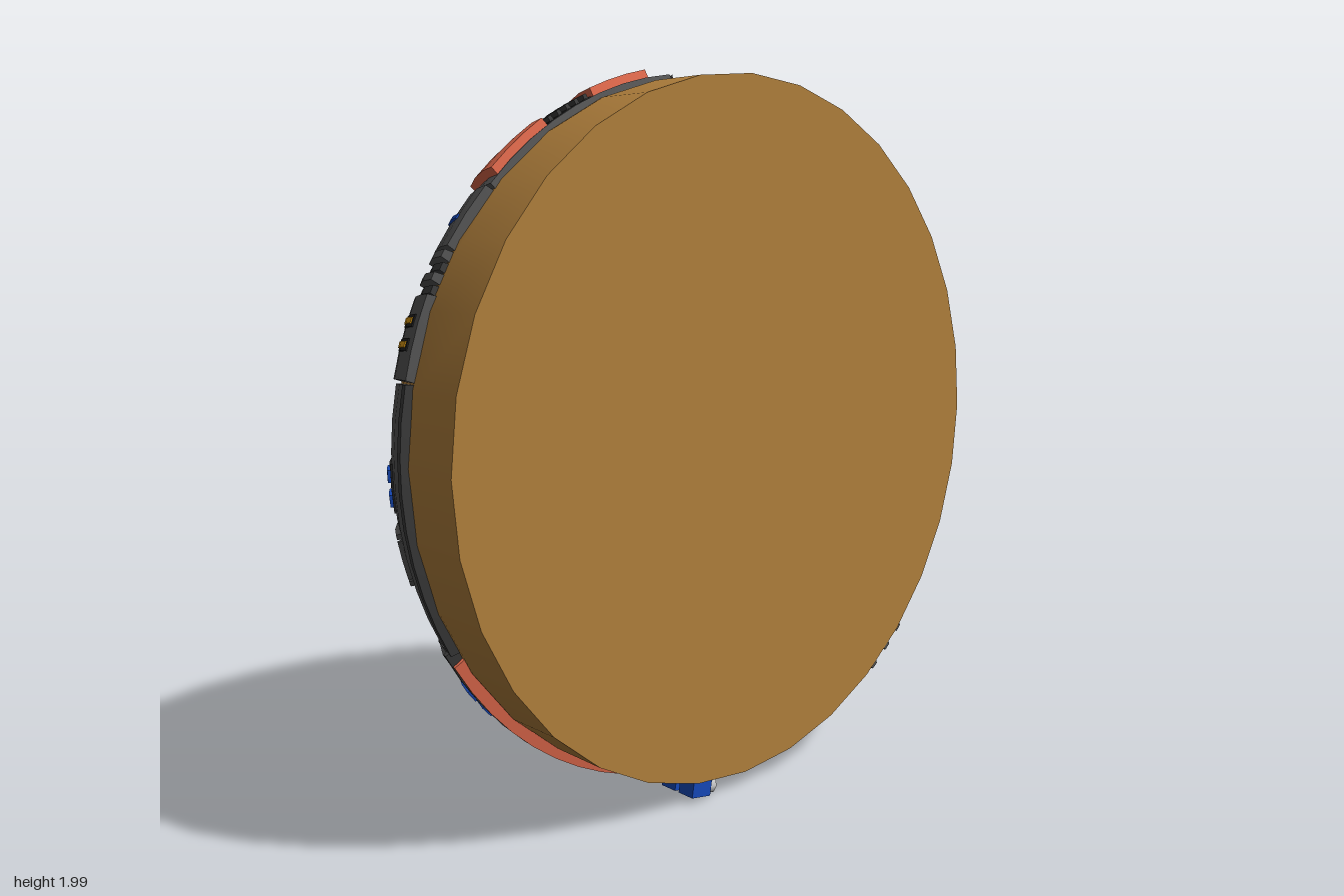
import * as THREE from 'three';
import { toCreasedNormals } from 'three/addons/utils/BufferGeometryUtils.js';

const CY = 1.013;
const BUN = 0xb07f3c, GRAY = 0x545454, DARK = 0x3c3c3c, BLACK = 0x222222, YELLOW = 0xcfcc12,
  CORAL = 0xe0694c, BLUE = 0x1548b8, ORANGE = 0xd9960f, SEED = 0xcbc43e, WHITE = 0xcccccc;

// bun profile, [radius, z] from the flat face to the crown
const PROFILE = [[0.97, 0.34], [0.97, 0.17], [0.95, 0.08], [0.905, 0], [0.82, -0.1], [0.75, -0.15],
  [0.67, -0.2], [0.51, -0.267], [0.35, -0.308], [0.18, -0.331], [0, -0.338]];

// linear lookup along the profile: key column k, value column 1 - k
function lookup(v, k) {
  for (let i = 1; i < PROFILE.length; i++) {
    const p = PROFILE[i - 1], q = PROFILE[i];
    if (v >= q[k] && p[k] !== q[k]) {
      return p[1 - k] + (q[1 - k] - p[1 - k]) * (p[k] - v) / (p[k] - q[k]);
    }
  }
  return PROFILE[PROFILE.length - 1][1 - k];
}
const radiusAt = z => lookup(Math.min(z, 0.34), 1);
const zAt = r => lookup(r, 0);

// point at angle a (degrees round z, 0 = +x), depth z, lifted by h along the surface normal
function surface(a, z, h) {
  const slope = (radiusAt(z + 0.03) - radiusAt(z - 0.03)) / 0.06;
  const n = Math.hypot(1, slope), r = radiusAt(z) + h / n, t = THREE.MathUtils.degToRad(a);
  return new THREE.Vector3(Math.cos(t) * r, CY + Math.sin(t) * r, z - h * slope / n);
}

const materials = {};
const material = c => (materials[c] ??= new THREE.MeshStandardMaterial({ color: c }));

export function createModel() {
  const model = new THREE.Group();
  const add = (name, geo, color) => {
    const mesh = new THREE.Mesh(geo, material(color));
    mesh.name = name;
    model.add(mesh);
    return mesh;
  };

  // armour plate wrapped on the bun: angles a0..a1, depths z0..z1 (z2..z3 at the a1 end), height h
  function plate(name, color, a0, a1, z0, z1, h, z2 = z0, z3 = z1) {
    const na = Math.max(1, Math.ceil((a1 - a0) / 5.7)), nz = Math.max(1, Math.ceil((z1 - z0) / 0.06));
    const geo = new THREE.BoxGeometry(1, 1, 1, na, nz, 1), pos = geo.attributes.position;
    const bevel = Math.min(0.005, (z1 - z0) * 0.2, (a1 - a0) * 0.003);
    for (let i = 0; i < pos.count; i++) {
      const top = pos.getZ(i) > 0, u = pos.getX(i) + 0.5, v = pos.getY(i) + 0.5;
      const lo = z0 + (z2 - z0) * u, hi = z1 + (z3 - z1) * u, inset = top ? bevel : 0;
      const z = lo + (hi - lo) * v - pos.getY(i) * 2 * inset;
      const a = a0 + (a1 - a0) * u - pos.getX(i) * 2 * inset * 60;
      const p = surface(a, z, top ? h : -0.015);
      pos.setXYZ(i, p.x, p.y, p.z);
    }
    geo.computeVertexNormals();
    return add(name, toCreasedNormals(geo, 0.45), color);
  }

  // rectangular border of four plates
  function frame(name, color, a0, a1, z0, z1, h, wa, wz) {
    plate(name, color, a0, a0 + wa, z0, z1, h);
    plate(name, color, a1 - wa, a1, z0, z1, h);
    plate(name, color, a0 + wa, a1 - wa, z0, z0 + wz, h);
    plate(name, color, a0 + wa, a1 - wa, z1 - wz, z1, h);
  }

  // bun dome and flat cut face
  const dome = new THREE.LatheGeometry(PROFILE.map(([r, z]) => new THREE.Vector2(r, -z)), 32);
  dome.rotateX(-Math.PI / 2);
  add('bunDome', dome, BUN).position.y = CY;
  add('bunCutFace', new THREE.CircleGeometry(0.97, 32), BUN).position.set(0, CY, 0.34);

  // sesame seeds, lying on the crown
  const seeds = [[-0.05, 0.44], [-0.02, 0.17], [-0.33, 0.22], [0.18, -0.22], [-0.14, -0.24], [0.47, -0.11],
    [0.47, 0.22], [0.72, 0.27], [-0.27, 0.69], [0.47, -0.53]];
  seeds.forEach(([x, y], i) => {
    const r = Math.hypot(x, y), a = Math.atan2(y, x) * 180 / Math.PI, z = zAt(r);
    const base = surface(a, z, 0), out = surface(a, z, 0.1).sub(base).normalize();
    const seed = add('sesameSeed', new THREE.SphereGeometry(1, 10, 8), SEED);
    seed.scale.set(0.021, 0.036, 0.013);
    seed.position.set(x, CY + y, z).addScaledVector(out, 0.004);
    seed.quaternion.setFromUnitVectors(new THREE.Vector3(0, 0, 1), out);
    seed.rotateZ([0.1, 0.9, -0.2, 0, 0.25, -0.1, 0.1, 0.2, 1.2, 0.5][i]);
  });

  // striped hazard band
  const stripes = [11, 21.5, 34.5, 45, 56.5, 67, 79];
  for (let i = 0; i < 6; i++) {
    const yellow = i % 2 === 1;
    plate(yellow ? 'hazardStripe' : 'hazardGap', yellow ? YELLOW : GRAY,
      stripes[i], stripes[i + 1], -0.12, 0.165, yellow ? 0.02 : 0.011);
  }

  // top band with light strip
  plate('topBand', GRAY, 79, 139, -0.12, -0.05, 0.016);
  plate('topBandLight', CORAL, 81, 138, -0.082, -0.07, 0.02);
  plate('topBandEdge', DARK, 81, 138, -0.064, -0.056, 0.02);
  plate('topBandShoulder', GRAY, 79, 137, -0.055, 0.002, 0.012);
  plate('topBandBevel', GRAY, 90, 97, -0.002, 0.005, 0.012, -0.002, 0.16);
  plate('topBlock', GRAY, 97, 137, 0, 0.16, 0.014);

  // coral blocks with a vent between them
  plate('coralBlock', CORAL, 101.5, 113.5, 0.005, 0.155, 0.036);
  plate('coralBlock', CORAL, 123, 135, 0.005, 0.155, 0.036);
  plate('ventBed', BLACK, 113.5, 123, 0.005, 0.155, 0.016);
  for (let i = 0; i < 5; i++) plate('ventSlat', DARK, 114 + i * 1.85, 115 + i * 1.85, 0.01, 0.15, 0.028);

  // narrow link running down the side
  plate('linkPlate', GRAY, 137, 148, 0, 0.155, 0.02, 0.02, 0.145);
  plate('linkSlot', BLUE, 142, 143.2, 0.04, 0.11, 0.024);
  for (let i = 0; i < 4; i++) {
    plate('linkRib', i % 2 ? DARK : GRAY, 148 + i * 1.8, 149.8 + i * 1.8, 0.025, 0.14, i % 2 ? 0.01 : 0.02);
  }
  plate('linkEnd', GRAY, 155, 168, 0.02, 0.15, 0.02, 0, 0.155);
  for (const a of [158.5, 162]) {
    plate('linkWindowFrame', BLACK, a - 0.5, a + 1.9, 0.045, 0.125, 0.023);
    plate('linkWindow', ORANGE, a, a + 1.4, 0.055, 0.115, 0.026);
  }

  // wide side plate with its instruments
  plate('sidePlate', GRAY, 168, 210, -0.07, 0.155, 0.014, -0.125, 0.155);
  plate('sidePlateRim', DARK, 168, 210, 0.125, 0.155, 0.019);
  plate('sidePlateRim', DARK, 168, 210, -0.08, -0.05, 0.019, -0.135, -0.105);
  plate('instrumentBed', BLACK, 180, 188, -0.03, 0.06, 0.018);
  for (const a of [181, 184.8]) plate('instrumentLight', BLUE, a, a + 2.4, -0.02, 0.05, 0.025);
  frame('sideHatch', DARK, 191, 200, -0.035, 0.05, 0.024, 1.2, 0.015);
  for (const a of [193.3, 196]) plate('sideHatchBar', GRAY, a, a + 1.4, -0.015, 0.03, 0.02);

  // large lower plate
  plate('lowerPlate', GRAY, 209, 257, -0.19, 0.15, 0.016, -0.2, 0.15);
  plate('lowerPlateStep', DARK, 211, 255, -0.06, 0.13, 0.024);
  plate('lowerPlateLight', CORAL, 211, 258, 0.15, 0.163, 0.028);
  plate('lowerPlateEdge', DARK, 209, 258, 0.128, 0.15, 0.03);
  for (let i = 0; i < 5; i++) {
    const a = 212 + i * 8.8;
    plate('lowerFin', DARK, a, a + 6.5, -0.175, -0.075, 0.026);
    plate('lowerFinRidge', GRAY, a + 2.2, a + 4.2, -0.165, -0.085, 0.034);
    frame('lowerSocket', DARK, a, a + 6.5, -0.045, 0.01, 0.031, 1.2, 0.012);
  }
  for (const a of [218, 222, 235, 245]) {
    plate('lowerLightBed', BLACK, a - 0.6, a + 3.4, 0.018, 0.118, 0.027);
    plate('lowerLight', BLUE, a, a + 2.8, 0.026, 0.11, 0.034);
  }
  for (const a of [229, 240.5, 250]) plate('lowerBar', GRAY, a, a + 2.5, 0.03, 0.11, 0.031);

  // twin plug beside the lower plate
  plate('plugBracket', GRAY, 256, 262, 0.04, 0.14, 0.022);
  plate('plugBracketArm', DARK, 257, 264, 0.1, 0.22, 0.014);
  for (const z of [0.23, 0.3]) {
    const plug = new THREE.Group();
    plug.name = 'plug';
    const body = new THREE.Mesh(new THREE.BoxGeometry(0.07, 0.05, 0.055), material(BLUE));
    body.name = 'plugBody';
    const cap = new THREE.Mesh(new THREE.CylinderGeometry(0.024, 0.027, 0.035, 8), material(WHITE));
    cap.name = 'plugCap';
    cap.rotation.z = Math.PI / 2;
    cap.position.x = 0.04;
    plug.add(body, cap);
    plug.position.set(-0.16, 0.036, z);
    plug.rotation.z = -0.17;
    model.add(plug);
  }

  // screen on the side
  frame('screenFrame', GRAY, -32, 0, -0.112, 0.168, 0.016, 4, 0.05);
  frame('screenBezel', DARK, -29.5, -2.5, -0.095, 0.13, 0.024, 2.4, 0.022);
  plate('screen', ORANGE, -27, -5, -0.075, 0.108, 0.009);
  plate('screenTab', GRAY, -26, -23.5, -0.175, -0.11, 0.015);
  plate('screenFoot', GRAY, -34, -31, 0.15, 0.19, 0.015);

  // joint chain below the screen
  plate('jointUpper', GRAY, -46, -31, -0.08, 0.01, 0.018, -0.07, -0.02);
  plate('jointLower', GRAY, -68, -44, -0.07, 0.012, 0.02);
  plate('jointSpine', DARK, -60, -33, -0.065, -0.05, 0.028);
  plate('jointLight', BLUE, -54.5, -48.5, -0.045, 0.005, 0.04);
  plate('jointWing', GRAY, -57, -47, -0.17, -0.065, 0.017);
  plate('jointWarning', CORAL, -67, -59, -0.09, -0.07, 0.022, -0.105, -0.03);
  for (const a of [-53.5, -49, -44.7]) plate('sideRail', GRAY, a - 1, a + 1, 0, 0.34, 0.012);

  // bottom strip with light line
  plate('bottomStrip', GRAY, -104, -66, -0.11, 0.005, 0.016);
  plate('bottomStripRim', DARK, -103, -67, -0.035, -0.005, 0.022);
  plate('bottomStripLight', CORAL, -102, -66, -0.062, -0.048, 0.021);

  // striped pointer reaching toward the crown
  plate('pointer', GRAY, -80, -69, -0.25, -0.11, 0.013);
  for (const a of [-78.5, -73.5]) {
    plate('pointerStripe', YELLOW, a, a + 3, -0.242, -0.185, 0.02);
    plate('pointerStripe', YELLOW, a, a + 3, -0.175, -0.12, 0.02);
  }

  // small coral hatch
  frame('smallHatch', DARK, -97, -87, -0.205, -0.13, 0.026, 2.4, 0.018);
  plate('smallHatchLight', CORAL, -95, -89, -0.19, -0.145, 0.016);

  // box with a cross
  plate('crossBox', GRAY, -91, -79, 0.02, 0.18, 0.016);
  frame('crossBoxRim', DARK, -91, -79, 0.02, 0.18, 0.021, 1, 0.016);
  plate('crossBar', ORANGE, -86.1, -83.9, 0.05, 0.15, 0.025);
  plate('crossBar', ORANGE, -88, -82, 0.082, 0.118, 0.025);

  return model;
}
